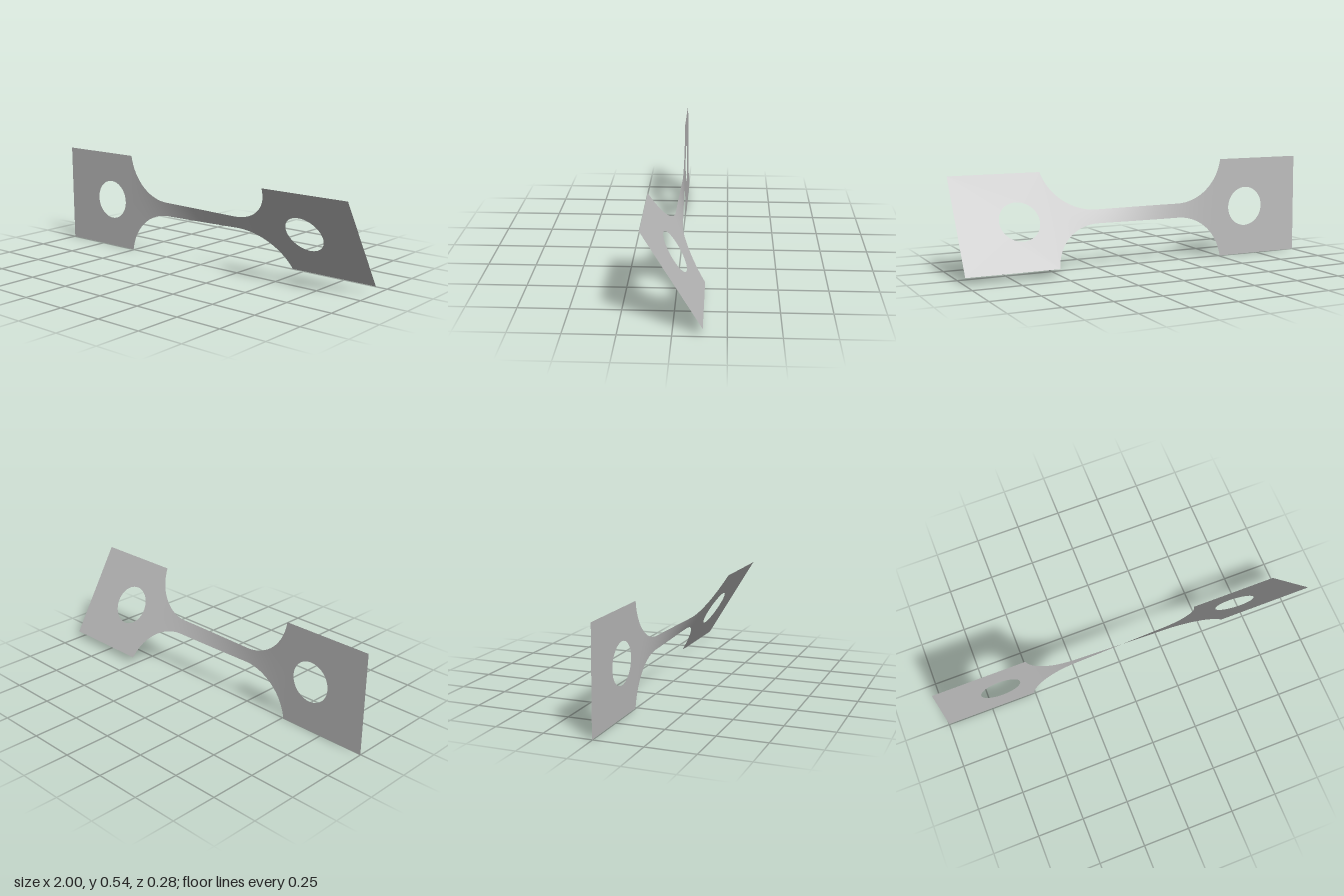
import * as THREE from 'three';

const HALF = 0.271;        // half height of the end pads
const NECK = 0.0385;       // half height of the narrow strip
const EDGE = 0.507;        // where the pads meet the fillets
const START = THREE.MathUtils.degToRad(0.6);
const END = THREE.MathUtils.degToRad(31);

// Half height of the strip: straight neck, then circular fillets
function halfHeight(x) {
  const r = 0.27, d = Math.max(0, Math.abs(x) - 0.24);
  return Math.min(HALF, NECK + r - Math.sqrt(Math.max(0, r * r - d * d)));
}

// Twist about the long axis
function twist(x) {
  return START + (END - START) * THREE.MathUtils.smoothstep(x, -EDGE, 0.43);
}

// Flat end pad with a round hole
function endPad(side, angle, material) {
  const shape = new THREE.Shape();
  const a = side > 0 ? EDGE : -1, b = side > 0 ? 1 : -EDGE;
  shape.moveTo(a, -HALF);
  shape.lineTo(b, -HALF);
  shape.lineTo(b, HALF);
  shape.lineTo(a, HALF);
  shape.closePath();
  const hole = new THREE.Path();
  hole.absarc(side * 0.67, 0, 0.108, 0, Math.PI * 2, true);
  shape.holes.push(hole);
  const geometry = new THREE.ShapeGeometry(shape, 32);
  geometry.rotateX(angle);
  return new THREE.Mesh(geometry, material);
}

// Twisted neck, with columns packed closer at the steep fillet ends
function twistedNeck(material) {
  const geometry = new THREE.PlaneGeometry(2, 2, 96, 16);
  const p = geometry.attributes.position;
  for (let i = 0; i < p.count; i++) {
    const x = EDGE * Math.sin(p.getX(i) * Math.PI / 2);
    const y = p.getY(i) * halfHeight(x), t = twist(x);
    p.setXYZ(i, x, y * Math.cos(t), y * Math.sin(t));
  }
  geometry.computeVertexNormals();
  return new THREE.Mesh(geometry, material);
}

export function createModel() {
  const metal = new THREE.MeshStandardMaterial({ color: 0xbcbcbc, side: THREE.DoubleSide });
  metal.name = 'light grey metal';

  const model = new THREE.Group();
  model.name = 'twistedStrip';
  const rightPad = endPad(-1, START, metal);
  rightPad.name = 'uprightPad';
  const leftPad = endPad(1, END, metal);
  leftPad.name = 'tiltedPad';
  const neck = twistedNeck(metal);
  neck.name = 'twistedNeck';
  for (const part of [rightPad, leftPad, neck]) {
    part.position.y = HALF;
    model.add(part);
  }
  return model;
}
